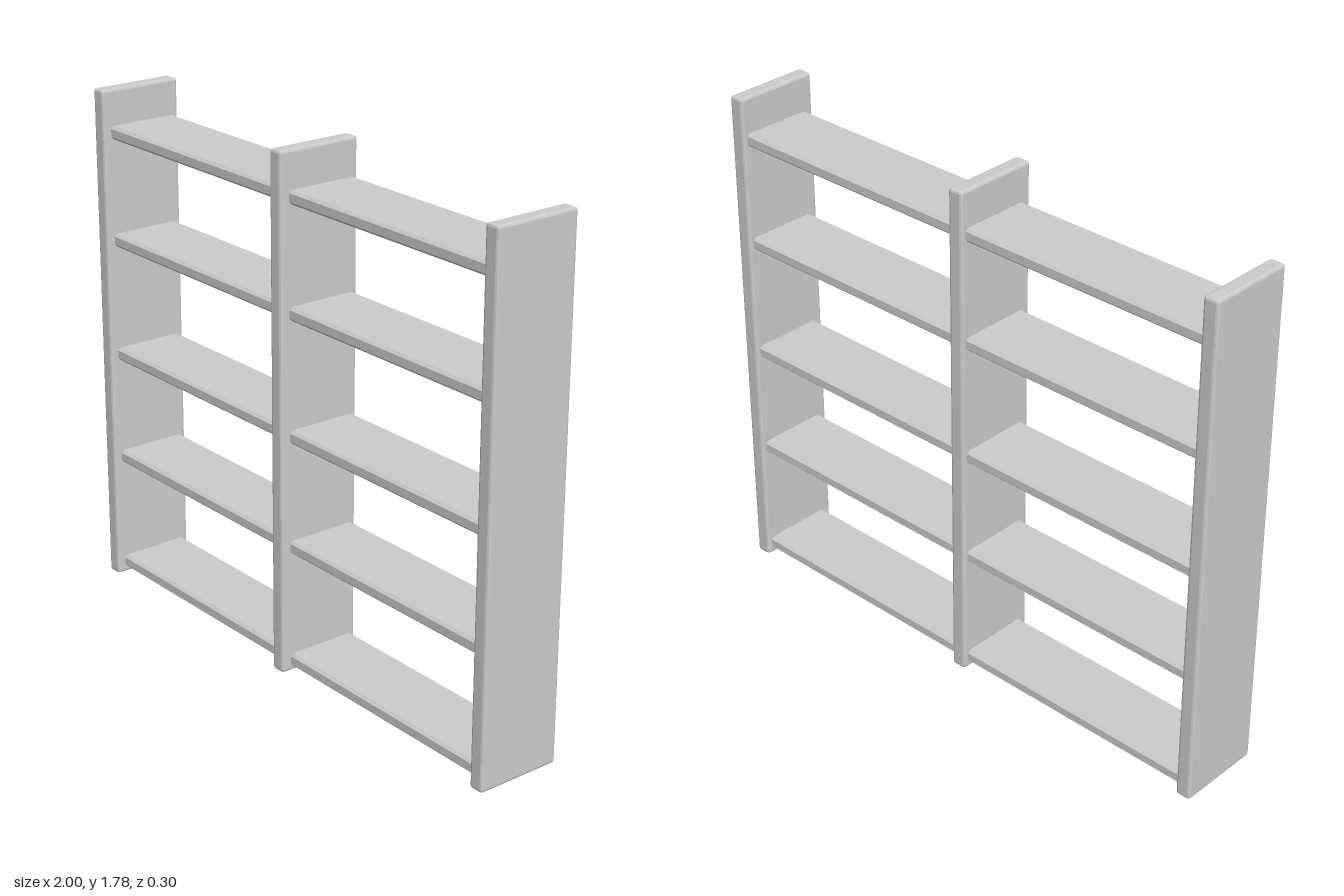
import * as THREE from 'three';
import { RoundedBoxGeometry } from 'three/addons/geometries/RoundedBoxGeometry.js';

const HEIGHT = 1.78, DEPTH = 0.304, BOARD = 0.054;
const SHELF_LENGTH = 0.915, SHELF_DEPTH = 0.256, SHELF_THICK = 0.046;

// Shelf board: chamfered cross-section run along x, with square ends
function shelfGeometry() {
  const d = SHELF_DEPTH / 2, h = SHELF_THICK / 2, c = 0.009;
  const profile = new THREE.Shape([
    [d - c, -h], [d, -h + c], [d, h - c], [d - c, h],
    [-d + c, h], [-d, h - c], [-d, -h + c], [-d + c, -h],
  ].map(([x, y]) => new THREE.Vector2(x, y)));
  const g = new THREE.ExtrudeGeometry(profile, { depth: SHELF_LENGTH, bevelEnabled: false });
  g.translate(0, 0, -SHELF_LENGTH / 2);
  return g.rotateY(Math.PI / 2);
}

export function createModel() {
  const group = new THREE.Group();
  const material = new THREE.MeshStandardMaterial({ color: 0xcccccc, flatShading: true });

  const add = (name, geometry, x, y, z) => {
    const mesh = new THREE.Mesh(geometry, material);
    mesh.name = name;
    mesh.position.set(x, y, z);
    group.add(mesh);
  };

  // Three uprights with softened edges
  const upright = new RoundedBoxGeometry(BOARD, HEIGHT, DEPTH, 1, 0.009);
  upright.computeVertexNormals();
  add('rightUpright', upright, -1 + BOARD / 2, HEIGHT / 2, 0);
  add('middleUpright', upright, -0.003, HEIGHT / 2, 0);
  add('leftUpright', upright, 1 - BOARD / 2, HEIGHT / 2, 0);

  // Five shelves in each bay
  const shelf = shelfGeometry();
  [0.043, 0.452, 0.838, 1.253, 1.631].forEach((y, i) => {
    add(`rightShelf${i + 1}`, shelf, -0.488, y, -0.006);
    add(`leftShelf${i + 1}`, shelf, 0.488, y, -0.006);
  });

  return group;
}
